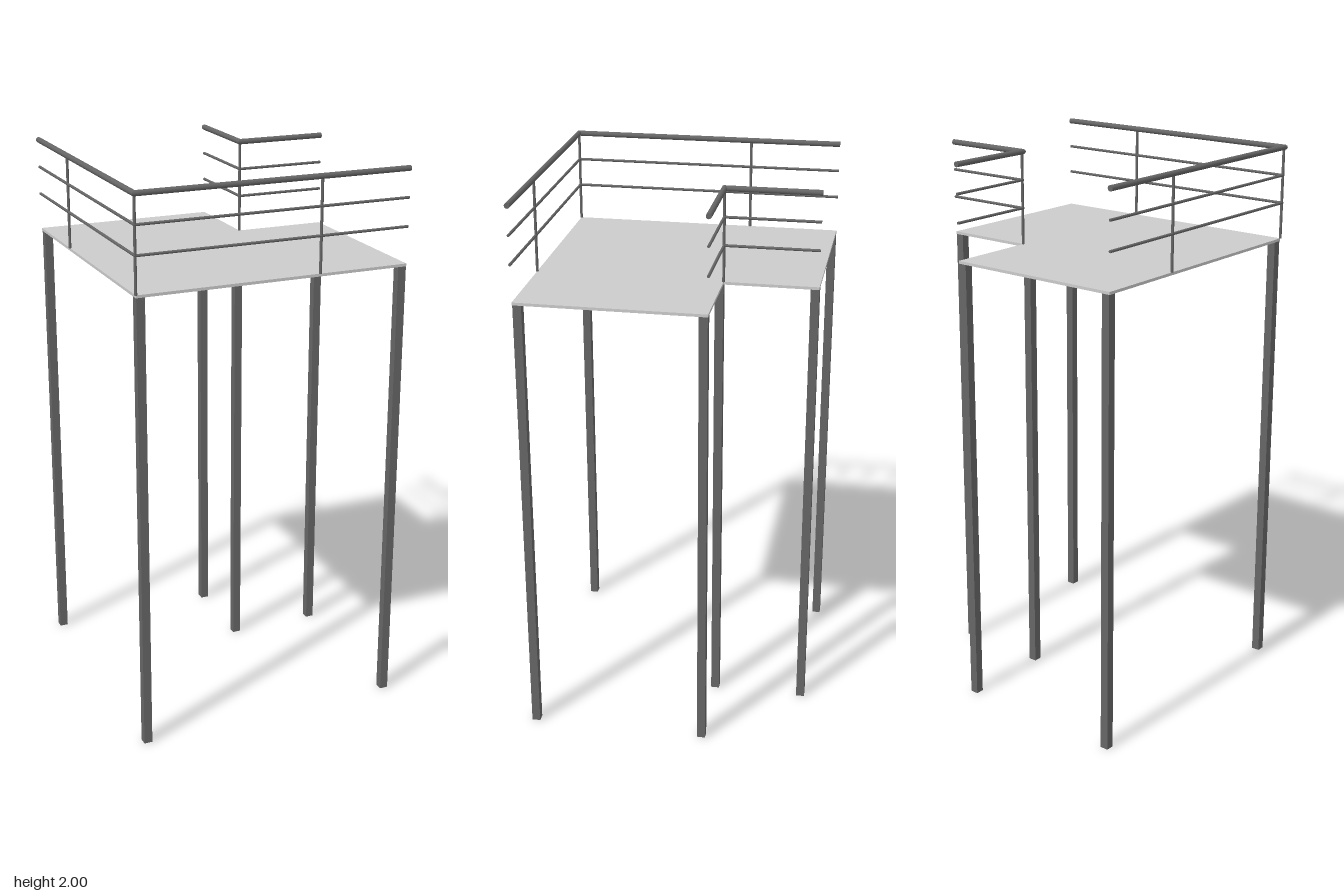
import * as THREE from 'three';

const DECK_TOP = 1.66, DECK_THICK = 0.01, RAIL_Y = 1.99, END = 0.5;
const OUTER = { x: -0.49, z: 0.49 };   // outer corner of the L
const INNER = { x: 0.17, z: -0.17 };   // corner of the notch

export function createModel() {
  const model = new THREE.Group();
  const deckMat = new THREE.MeshStandardMaterial({ color: 0xcccccc });
  const steelMat = new THREE.MeshStandardMaterial({ color: 0x666666 });

  const add = (geometry, material, name, x = 0, y = 0, z = 0) => {
    const mesh = new THREE.Mesh(geometry, material);
    mesh.name = name;
    mesh.position.set(x, y, z);
    model.add(mesh);
  };

  // L-shaped platform
  const outline = new THREE.Shape([
    [OUTER.x, -OUTER.z], [END, -OUTER.z], [END, -INNER.z],
    [INNER.x, -INNER.z], [INNER.x, END], [OUTER.x, END],
  ].map(([x, y]) => new THREE.Vector2(x, y)));
  const deck = new THREE.ExtrudeGeometry(outline, { depth: DECK_THICK, bevelEnabled: false });
  deck.rotateX(-Math.PI / 2);
  add(deck, deckMat, 'deck', 0, DECK_TOP - DECK_THICK, 0);

  // Square legs under the six corners
  const legHeight = DECK_TOP - DECK_THICK;
  const legs = [
    [-0.473, 0.473], [0.485, 0.473], [0.485, -0.154],
    [0.154, -0.154], [0.154, -0.485], [-0.473, -0.485],
  ];
  for (const [x, z] of legs) {
    add(new THREE.BoxGeometry(0.03, legHeight, 0.03), steelMat, 'leg', x, legHeight / 2, z);
  }

  // Round bar from a corner to the open end, mitred at the corner
  const addBar = (corner, y, radius, alongX, name) => {
    const length = alongX ? END - corner.x : corner.z + END;
    const bar = new THREE.CylinderGeometry(radius, radius, length, 12);
    if (alongX) bar.rotateZ(-Math.PI / 2).translate(length / 2, 0, 0);
    else bar.rotateX(-Math.PI / 2).translate(0, 0, -length / 2);
    const p = bar.attributes.position;
    for (let i = 0; i < p.count; i++) {
      if (alongX && p.getX(i) < length / 2) p.setX(i, -p.getZ(i));
      if (!alongX && p.getZ(i) > -length / 2) p.setZ(i, -p.getX(i));
    }
    add(bar, steelMat, name, corner.x, y, corner.z);
  };

  // Handrail and two thinner rails around each corner
  for (const corner of [OUTER, INNER]) {
    for (const alongX of [true, false]) {
      addBar(corner, RAIL_Y, 0.01, alongX, 'handrail');
      for (const y of [1.89, 1.79]) addBar(corner, y, 0.005, alongX, 'midRail');
    }
  }

  // Upright posts
  const postHeight = RAIL_Y - DECK_TOP;
  const posts = [
    [OUTER.x, OUTER.z], [INNER.x, OUTER.z], [OUTER.x, INNER.z], [INNER.x, INNER.z],
  ];
  for (const [x, z] of posts) {
    add(new THREE.CylinderGeometry(0.005, 0.005, postHeight, 12), steelMat,
      'railPost', x, DECK_TOP + postHeight / 2, z);
  }

  return model;
}
